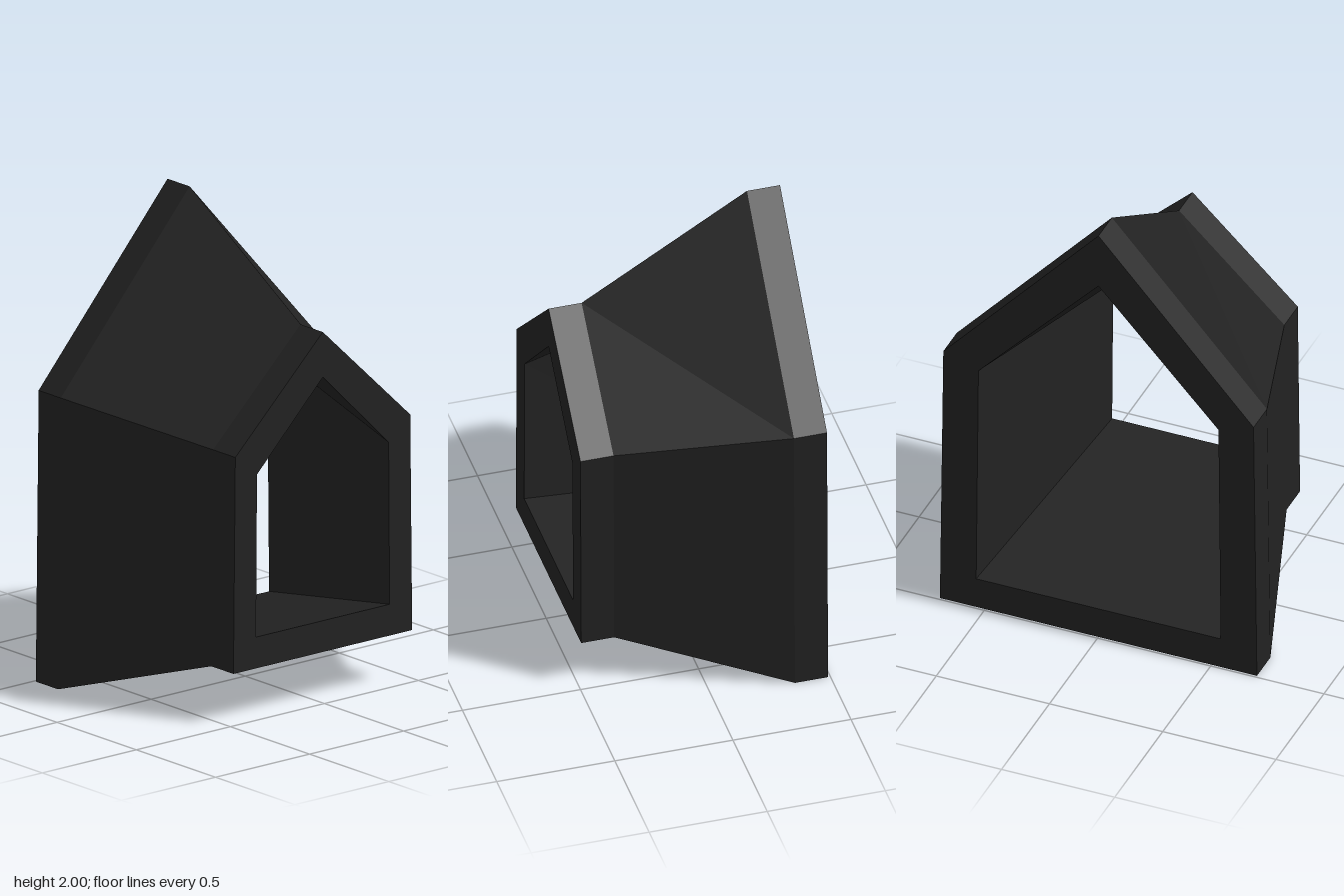
import * as THREE from 'three';

// House-shaped outline: half width and height at the floor, at the eaves, then the apex
function houseRing(z, w0, y0, w1, y1, apex) {
  return [[w0, y0, z], [w1, y1, z], [0, apex, z], [-w1, y1, z], [-w0, y0, z]];
}

// Joins successive rings with flat faces, mirrored about x = 0
function loft(name, rings, material, flip = false) {
  const pos = [];
  for (let r = 0; r < rings.length - 1; r++) {
    const a = rings[r], b = rings[r + 1];
    for (let i = 0; i < 5; i++) {
      const j = (i + 1) % 5;
      const first = (i < 2) !== flip;
      const tris = first
        ? [a[i], a[j], b[j], a[i], b[j], b[i]]
        : [a[i], a[j], b[i], a[j], b[j], b[i]];
      tris.forEach((p) => pos.push(...p));
    }
  }
  const geo = new THREE.BufferGeometry();
  geo.setAttribute('position', new THREE.Float32BufferAttribute(pos, 3));
  geo.computeVertexNormals();
  const mesh = new THREE.Mesh(geo, material);
  mesh.name = name;
  return mesh;
}

export function createModel() {
  const group = new THREE.Group();
  group.name = 'houseFunnel';
  const black = new THREE.MeshStandardMaterial({ color: 0x222222 });
  black.name = 'matt black';

  const back = (z) => houseRing(z, 0.7, 0, 0.685, 1.235, 2);
  const front = (z) => houseRing(z, 0.475, 0.217, 0.465, 1.135, 1.577);
  const innerFront = houseRing(0.49, 0.355, 0.35, 0.35, 1.04, 1.385);
  const innerBack = houseRing(-0.49, 0.54, 0.14, 0.53, 1.18, 1.75);

  // Outside: back collar, tapering body, front collar
  group.add(loft('backCollar', [back(-0.49), back(-0.35)], black));
  group.add(loft('taperedBody', [back(-0.35), front(0.35)], black));
  group.add(loft('frontCollar', [front(0.35), front(0.49)], black));
  // Rims and the straight tapering inside
  group.add(loft('frontRim', [front(0.49), innerFront], black));
  group.add(loft('innerLining', [innerFront, innerBack], black, true));
  group.add(loft('backRim', [innerBack, back(-0.49)], black));
  return group;
}
